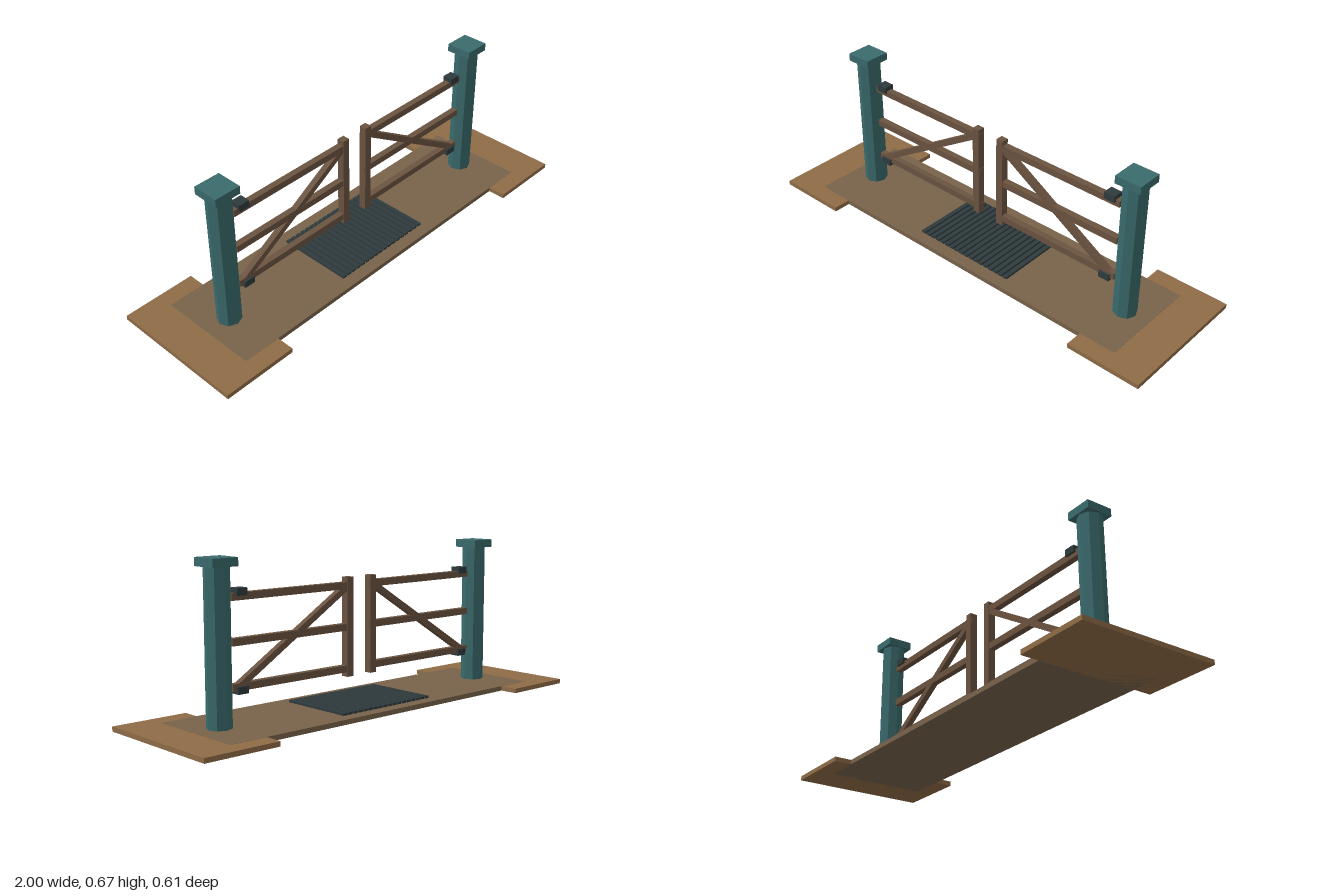
import * as THREE from 'three';

const paint = (color) => new THREE.MeshStandardMaterial({ color, flatShading: true });

export function createModel() {
  const model = new THREE.Group();
  model.name = 'gateway';
  const teal = paint(0x3a6a6c);
  const wood = paint(0x6b5340);
  const earth = paint(0x8f6c47);
  const road = paint(0x78634b);
  const iron = paint(0x2f3a3d);

  const add = (parent, name, geometry, material, x, y, z = 0) => {
    const mesh = new THREE.Mesh(geometry, material);
    mesh.name = name;
    mesh.position.set(x, y, z);
    parent.add(mesh);
    return mesh;
  };
  const box = (parent, name, material, w, h, d, x, y, z) =>
    add(parent, name, new THREE.BoxGeometry(w, h, d), material, x, y, z);

  // Ground: a long drive slab, flush with a wider verge slab at each end
  box(model, 'driveSlab', road, 1.672, 0.0206, 0.45, -0.003, 0.0103);
  box(model, 'rightVerge', earth, 0.328, 0.02, 0.608, -0.836, 0.01);
  box(model, 'leftVerge', earth, 0.332, 0.02, 0.608, 0.834, 0.01);

  // Cattle grid: parallel bars across the drive
  const grid = new THREE.Group();
  grid.name = 'cattleGrid';
  model.add(grid);
  const bars = 18, pitch = 0.0277;
  for (let i = 0; i < bars; i++) {
    box(grid, 'gridBar', iron, 0.02, 0.012, 0.341, -0.0045 + (i - (bars - 1) / 2) * pitch, 0.0245);
  }

  // Each side: octagonal post with square cap, and one gate leaf
  for (const s of [-1, 1]) {
    const side = new THREE.Group();
    side.name = s > 0 ? 'leftSide' : 'rightSide';
    side.position.x = -0.003;
    model.add(side);

    add(side, 'post', new THREE.CylinderGeometry(0.051, 0.051, 0.634, 8), teal, s * 0.722, 0.318);
    box(side, 'postCap', teal, 0.116, 0.034, 0.116, s * 0.722, 0.652);

    const leaf = new THREE.Group();
    leaf.name = 'gateLeaf';
    side.add(leaf);
    for (const y of [0.168, 0.343, 0.516]) {
      box(leaf, 'rail', wood, 0.618, 0.029, 0.028, s * 0.356, y);
    }
    box(leaf, 'meetingStile', wood, 0.033, 0.417, 0.033, s * 0.0655, 0.3425);

    // Diagonal brace from the lower hinge up to the meeting stile
    const low = new THREE.Vector2(s * 0.632, 0.17);
    const high = new THREE.Vector2(s * 0.068, 0.516);
    const run = high.clone().sub(low);
    const brace = box(leaf, 'brace', wood, run.length(), 0.026, 0.0265,
      (low.x + high.x) / 2, (low.y + high.y) / 2);
    brace.rotation.z = Math.atan2(run.y, run.x);

    for (const y of [0.156, 0.534]) {
      box(leaf, 'hinge', iron, 0.05, 0.029, 0.046, s * 0.622, y);
    }
  }
  return model;
}
